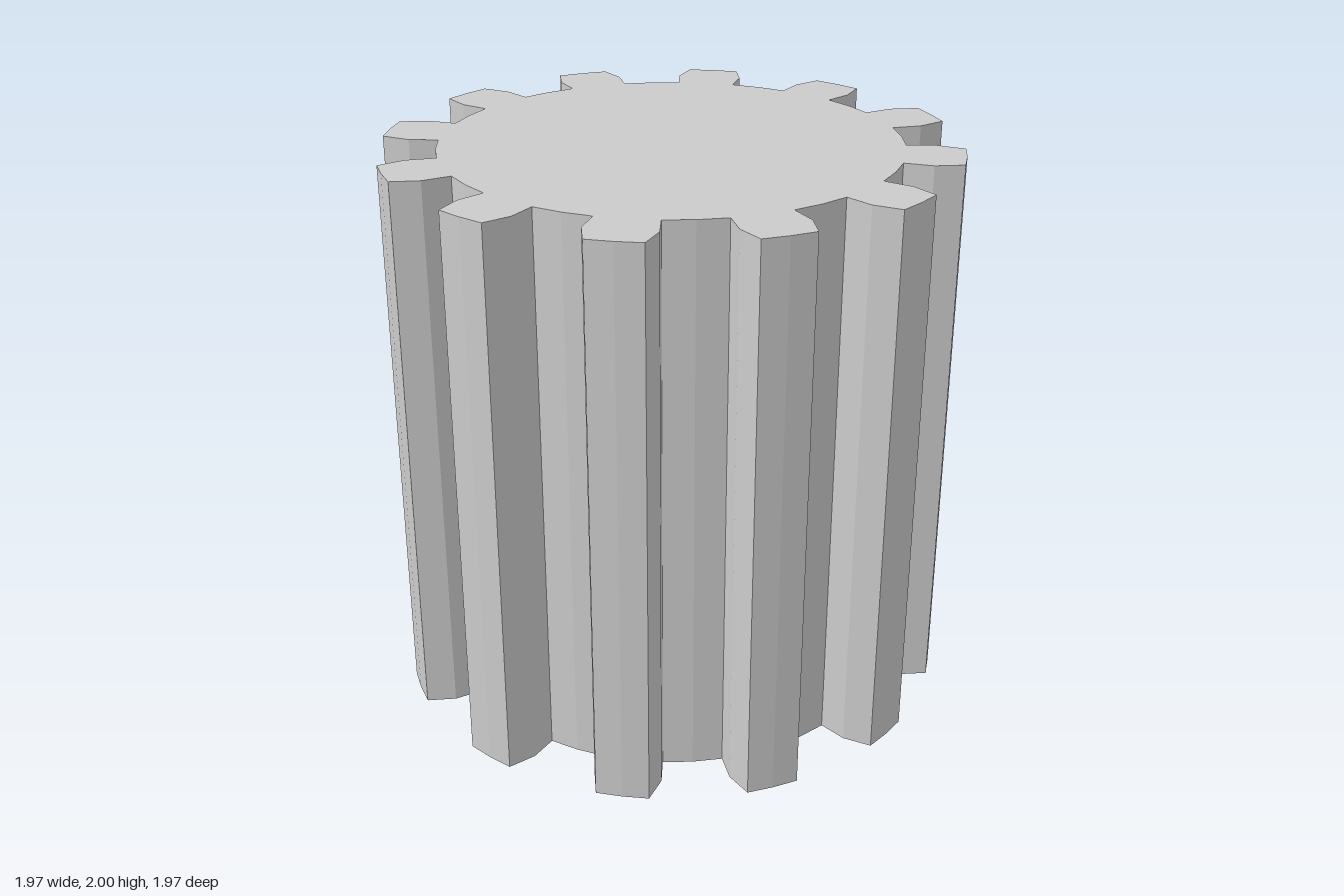
import * as THREE from 'three';

const TEETH = 12;
const HEIGHT = 2;

// One tooth outline as [degrees from tooth centre, radius], ending mid-valley
const TOOTH = [
  [-7.5, 0.8], [-7.5, 0.903], [-5.3, 1], [0, 1],
  [5.3, 1], [7.5, 0.903], [7.5, 0.8], [15, 0.8],
];

export function createModel() {
  const group = new THREE.Group();
  group.name = 'spurGear';

  // Gear outline: the tooth repeated around the circle
  const points = [];
  for (let i = 0; i < TEETH; i++) {
    for (const [degrees, radius] of TOOTH) {
      const a = THREE.MathUtils.degToRad((i + 0.5) * 360 / TEETH + degrees);
      points.push(new THREE.Vector2(Math.cos(a) * radius, Math.sin(a) * radius));
    }
  }

  // Solid toothed cylinder, standing on the ground
  const geometry = new THREE.ExtrudeGeometry(new THREE.Shape(points), {
    depth: HEIGHT, bevelEnabled: false,
  });
  geometry.rotateX(-Math.PI / 2);

  const gear = new THREE.Mesh(geometry, new THREE.MeshStandardMaterial({ color: 0xcccccc, flatShading: true }));
  gear.name = 'toothedCylinder';
  group.add(gear);
  return group;
}
